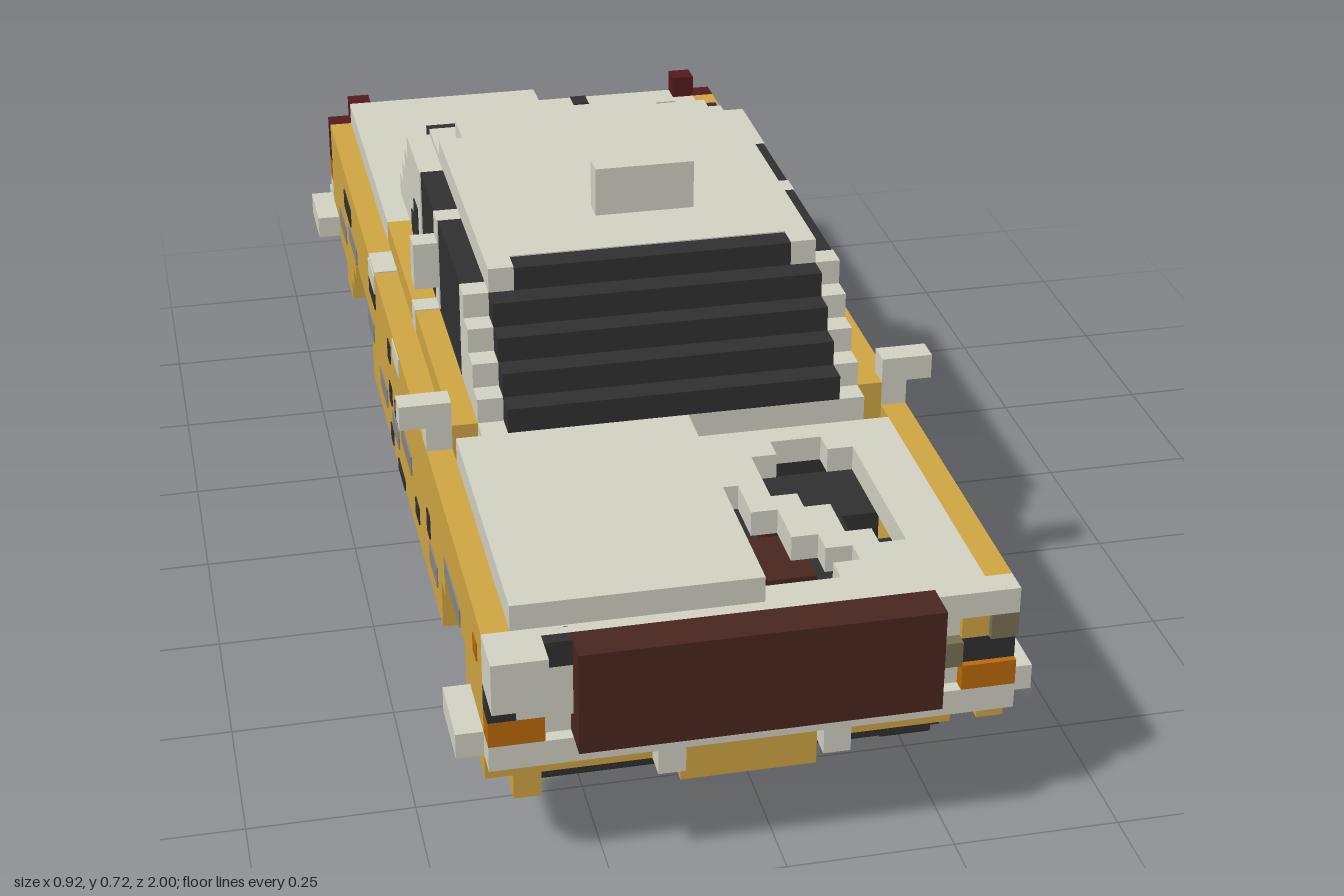
import * as THREE from 'three';

const mat = (name, color) => { const m = new THREE.MeshStandardMaterial({ color }); m.name = name; return m; };

export function createModel() {
  const light = mat('faded white', 0xd4d4c6), gold = mat('taxi yellow', 0xd3a844), dark = mat('charcoal', 0x313131);
  const grey = mat('steel grey', 0x88888a), rust = mat('rust brown', 0x4a271e), orange = mat('lamp orange', 0xbc6b08);
  const red = mat('tail red', 0x561a1e), olive = mat('dirty olive', 0x7a7255);
  const root = new THREE.Group();
  root.name = 'wreckedTaxi';

  // Box from its limits
  const box = (name, m, x0, x1, y0, y1, z0, z1) => {
    const mesh = new THREE.Mesh(new THREE.BoxGeometry(x1 - x0, y1 - y0, z1 - z0), m);
    mesh.position.set((x0 + x1) / 2, (y0 + y1) / 2, (z0 + z1) / 2);
    mesh.name = name;
    root.add(mesh);
  };
  const CX = -0.04; // body centre line
  // Box mirrored about the body centre line; a and b are distances from it
  const pair = (name, m, a, b, y0, y1, z0, z1) => {
    box(name + 'Left', m, CX + a, CX + b, y0, y1, z0, z1);
    box(name + 'Right', m, CX - b, CX - a, y0, y1, z0, z1);
  };

  // Side panels with stepped wheel arches, drawn as (z, y)
  const outline = [[0.92, 0.4], [0.92, 0.16], [0.8, 0.16], [0.8, 0.2], [0.76, 0.2], [0.76, 0.28], [0.56, 0.28],
    [0.56, 0.24], [0.52, 0.24], [0.52, 0.16], [-0.32, 0.16], [-0.32, 0.24], [-0.36, 0.24], [-0.36, 0.28],
    [-0.56, 0.28], [-0.56, 0.24], [-0.6, 0.24], [-0.6, 0.2], [-0.64, 0.2], [-0.64, 0.16], [-0.72, 0.16],
    [-0.72, 0.2], [-0.84, 0.2], [-0.84, 0.24], [-0.92, 0.24], [-0.92, 0.4]];
  const panelShape = new THREE.Shape(outline.map(([z, y]) => new THREE.Vector2(-z, y)));
  const panelGeo = new THREE.ExtrudeGeometry(panelShape, { depth: 0.04, bevelEnabled: false }).rotateY(Math.PI / 2);
  for (const [name, x] of [['sidePanelLeft', 0.3], ['sidePanelRight', -0.42]]) {
    const p = new THREE.Mesh(panelGeo, gold);
    p.name = name;
    p.position.x = x;
    root.add(p);
  }
  // Broken sills set in from the panels
  for (const [z0, z1] of [[0.12, 0.5], [-0.04, 0], [-0.32, -0.08]]) pair('sill', gold, 0.3, 0.34, 0.12, 0.16, z0, z1);

  // Chipped paint plates on the sides: z0, z1, y0, y1, material
  const chips = [[0, 0.08, 0.36, 0.395, light], [-0.32, -0.24, 0.36, 0.395, light], [-0.32, -0.24, 0.33, 0.36, dark],
    [0.57, 0.72, 0.285, 0.315, grey], [0.08, 0.2, 0.245, 0.28, grey], [-0.04, 0.04, 0.205, 0.24, grey],
    [-0.2, -0.11, 0.205, 0.24, grey], [-0.64, -0.52, 0.285, 0.315, grey], [-0.36, -0.28, 0.245, 0.28, grey],
    [-0.8, -0.7, 0.245, 0.28, grey], [0.4, 0.48, 0.205, 0.24, grey], [0.38, 0.41, 0.25, 0.29, dark],
    [0, 0.04, 0.25, 0.28, dark], [-0.07, -0.04, 0.325, 0.36, dark], [-0.07, -0.04, 0.245, 0.28, dark],
    [-0.07, -0.04, 0.17, 0.2, dark], [-0.7, -0.6, 0.325, 0.36, dark], [0.24, 0.28, 0.2, 0.23, dark],
    [0.02, 0.1, 0.16, 0.18, dark], [0.85, 0.88, 0.33, 0.36, orange]];
  for (const [z0, z1, y0, y1, m] of chips) pair('paintChip', m, 0.376, 0.382, y0, y1, z0, z1);

  // Floor, engine bay and trunk interior
  box('floor', dark, -0.34, 0.26, 0.12, 0.16, -0.6, 0.84);
  box('frontCrossMember', dark, -0.34, 0.22, 0.12, 0.16, 0.84, 0.88);
  box('interior', dark, -0.38, 0.26, 0.16, 0.29, -0.8, 0.54);
  box('engineBay', dark, -0.36, 0.2, 0.16, 0.29, 0.54, 0.88);
  box('trunkFloor', gold, -0.38, 0.3, 0.24, 0.28, -0.9, -0.8);
  box('engineRust', rust, 0.02, 0.1, 0.29, 0.33, 0.64, 0.76);
  box('engineSteel', grey, -0.02, 0.02, 0.29, 0.33, 0.6, 0.64);
  box('engineRustSide', rust, 0.06, 0.1, 0.29, 0.34, 0.56, 0.6);

  // Base of the cabin
  box('cabinBase', dark, -0.34, 0.26, 0.28, 0.44, -0.36, 0.4);
  box('rearShelf', dark, -0.3, 0.22, 0.28, 0.44, -0.52, -0.36);

  // Intact right half of hood and trunk, raised on a lower shelf
  box('hoodRight', light, -0.38, -0.02, 0.4, 0.44, 0.44, 0.92);
  box('hoodShelf', light, -0.38, -0.02, 0.36, 0.4, 0.44, 0.92);
  box('trunkRight', light, -0.38, -0.02, 0.4, 0.44, -0.92, -0.52);
  box('trunkShelf', light, -0.38, -0.02, 0.36, 0.4, -0.92, -0.52);

  // Rusted-through left halves; dots are holes, rows run toward the front
  const holed = (name, z0, rows) => rows.forEach((row, r) => {
    for (const run of row.matchAll(/#+/g)) {
      const x = -0.02 + run.index * 0.04, z = z0 + r * 0.04;
      box(name, light, x, x + run[0].length * 0.04, 0.36, 0.4, z, z + 0.04);
    }
  });
  holed('hoodLeft', 0.44, ['########', '###..###', '##....##', '##....##', '.#....##', '.##...##', '..##..##',
    '..##..##', '...##.##', '....####', '...#####', '########']);
  holed('trunkLeft', -0.92, ['######.#', '...###.#', '...###.#', '..##.#.#', '..#..#.#', '.##..#.#', '##...#.#',
    '##...#.#', '######.#', '.......#']);

  // Belt line, cowl and rear deck
  pair('beltLine', gold, 0.3, 0.34, 0.36, 0.44, -0.36, 0.4);
  pair('beltPatch', light, 0.3, 0.341, 0.4, 0.442, -0.04, 0);
  pair('beltEnd', light, 0.26, 0.34, 0.36, 0.44, -0.52, -0.36);
  pair('sideTopPatch', light, 0.34, 0.38, 0.395, 0.402, -0.32, -0.24);
  box('cowl', light, -0.34, 0.26, 0.36, 0.44, 0.4, 0.44);

  // Stepped cabin: one glass slab and two pillar sets per layer
  const front = [0.44, 0.4, 0.36, 0.32], back = [-0.52, -0.48, -0.44, -0.4];
  front.forEach((f, i) => {
    const y = 0.44 + i * 0.04;
    box('glass', dark, -0.3, 0.22, y, y + 0.04, back[i], f);
    pair('frontPillar', light, 0.26, 0.3, y, y + 0.04, 0.24, f - 0.04);
    pair('rearPillar', light, 0.26, 0.3, y, y + 0.04, back[i] + 0.04, -0.2);
  });
  pair('middlePillar', light, 0.26, 0.3, 0.44, 0.6, -0.04, 0);
  pair('frontWindow', dark, 0.26, 0.298, 0.44, 0.6, 0, 0.24);
  pair('rearWindow', dark, 0.26, 0.298, 0.44, 0.6, -0.2, -0.04);
  pair('pillarHoleLow', dark, 0.296, 0.302, 0.44, 0.48, -0.32, -0.24);
  pair('pillarHoleHigh', dark, 0.296, 0.302, 0.48, 0.515, -0.285, -0.24);
  box('doorFrameStub', light, -0.38, -0.34, 0.48, 0.56, -0.04, 0);
  box('roof', light, -0.3, 0.22, 0.6, 0.64, -0.24, 0.24);
  box('roofRear', light, -0.26, 0.18, 0.6, 0.64, -0.32, -0.24);
  box('roofStep', light, -0.3, 0.22, 0.59, 0.61, -0.36, -0.24);
  box('windshieldTop', dark, -0.26, 0.18, 0.6, 0.638, 0.24, 0.28);
  pair('roofCorner', light, 0.22, 0.26, 0.6, 0.64, 0.24, 0.28);
  box('roofSign', light, -0.1, 0.06, 0.64, 0.72, 0.08, 0.12);

  // Mirrors
  pair('mirrorStem', light, 0.34, 0.38, 0.4, 0.44, 0.36, 0.4);
  pair('mirror', light, 0.34, 0.42, 0.44, 0.48, 0.36, 0.4);

  // Nose: panel, grille, lamps, bumper and valance
  box('nosePanel', light, -0.38, 0.3, 0.24, 0.4, 0.88, 0.94);
  box('grille', rust, -0.3, 0.22, 0.24, 0.4, 0.94, 1);
  box('noseCornerRight', light, -0.42, -0.34, 0.32, 0.4, 0.92, 1);
  box('noseGap', dark, -0.34, -0.3, 0.36, 0.4, 0.92, 0.96);
  box('noseCornerLeft', light, 0.22, 0.34, 0.36, 0.4, 0.92, 0.96);
  box('lampRight', orange, -0.42, -0.34, 0.24, 0.28, 0.92, 0.96);
  box('lampSocketRight', dark, -0.42, -0.38, 0.28, 0.32, 0.92, 0.96);
  box('lampRimRight', light, -0.38, -0.3, 0.28, 0.36, 0.92, 0.96);
  box('lampLeft', orange, 0.26, 0.34, 0.24, 0.28, 0.92, 0.96);
  box('lampSocketLeft', dark, 0.26, 0.34, 0.28, 0.32, 0.92, 0.95);
  box('lampDirt', olive, 0.3, 0.34, 0.32, 0.36, 0.92, 0.96);
  box('lampDirtInner', olive, 0.22, 0.26, 0.28, 0.32, 0.92, 0.96);
  box('lampPaint', gold, 0.26, 0.3, 0.32, 0.36, 0.92, 0.95);
  box('frontBumper', light, -0.42, 0.34, 0.2, 0.24, 0.92, 0.96);
  pair('frontBumperEnd', light, 0.38, 0.42, 0.2, 0.24, 0.8, 0.92);
  box('valance', gold, -0.38, 0.26, 0.16, 0.2, 0.88, 0.92);
  box('valanceCentre', gold, -0.14, 0.06, 0.12, 0.2, 0.88, 0.925);
  box('valanceGuardRight', light, -0.18, -0.14, 0.16, 0.2, 0.92, 0.96);
  box('valanceGuardLeft', light, 0.06, 0.1, 0.16, 0.2, 0.92, 0.96);
  box('valanceEnd', gold, -0.38, -0.34, 0.12, 0.16, 0.88, 0.92);

  // Tail: panel, plate, lamps and bumper
  box('tailPanel', light, -0.34, 0.26, 0.24, 0.4, -0.96, -0.9);
  box('numberPlate', gold, -0.14, 0.06, 0.28, 0.36, -0.962, -0.956);
  for (const [x, y, w, h] of [[-0.26, 0.26, 0.04, 0.1], [-0.18, 0.36, 0.04, 0.035], [0.1, 0.32, 0.04, 0.04],
    [0.18, 0.36, 0.04, 0.035]])
    box('tailHole', dark, x, x + w, y, y + h, -0.962, -0.956);
  for (const [x0, x1] of [[-0.26, -0.2], [-0.14, -0.1], [0.06, 0.09]])
    box('tailTopHole', dark, x0, x1, 0.396, 0.402, -0.96, -0.92);
  pair('tailLampTop', red, 0.3, 0.34, 0.4, 0.44, -0.96, -0.92);
  pair('tailLamp', red, 0.3, 0.38, 0.32, 0.4, -0.96, -0.92);
  pair('tailIndicator', orange, 0.3, 0.38, 0.28, 0.32, -0.96, -0.92);
  pair('tailCorner', light, 0.3, 0.38, 0.24, 0.28, -0.96, -0.92);
  box('rearBumper', light, -0.42, 0.34, 0.2, 0.24, -1, -0.92);
  pair('rearBumperEnd', light, 0.38, 0.42, 0.2, 0.24, -0.96, -0.84);
  box('rearGuardRight', light, -0.22, -0.18, 0.16, 0.28, -1, -0.96);
  box('rearGuardLeft', light, 0.1, 0.14, 0.16, 0.28, -1, -0.96);
  box('rearValance', gold, -0.38, 0.3, 0.16, 0.24, -0.84, -0.8);

  // Exhaust
  box('exhaustFront', grey, -0.18, -0.1, 0.08, 0.12, -0.6, 0.52);
  box('exhaustRear', grey, -0.18, -0.1, 0.12, 0.16, -0.96, -0.6);

  // The one remaining wheel, built from stepped slabs
  for (const [h, w] of [[0.14, 0.06], [0.1, 0.1], [0.06, 0.14]])
    box('tyre', dark, 0.22, 0.3, 0.14 - h, 0.14 + h, 0.66 - w, 0.66 + w);
  box('hub', grey, 0.24, 0.302, 0.08, 0.2, 0.6, 0.72);
  box('hubBolt', dark, 0.298, 0.304, 0.132, 0.148, 0.652, 0.668);

  // Fallen lamp pieces on the ground
  box('debrisLight', light, 0.42, 0.46, 0, 0.04, -0.88, -0.84);
  box('debrisRed', red, 0.42, 0.46, 0, 0.04, -0.96, -0.92);
  return root;
}
